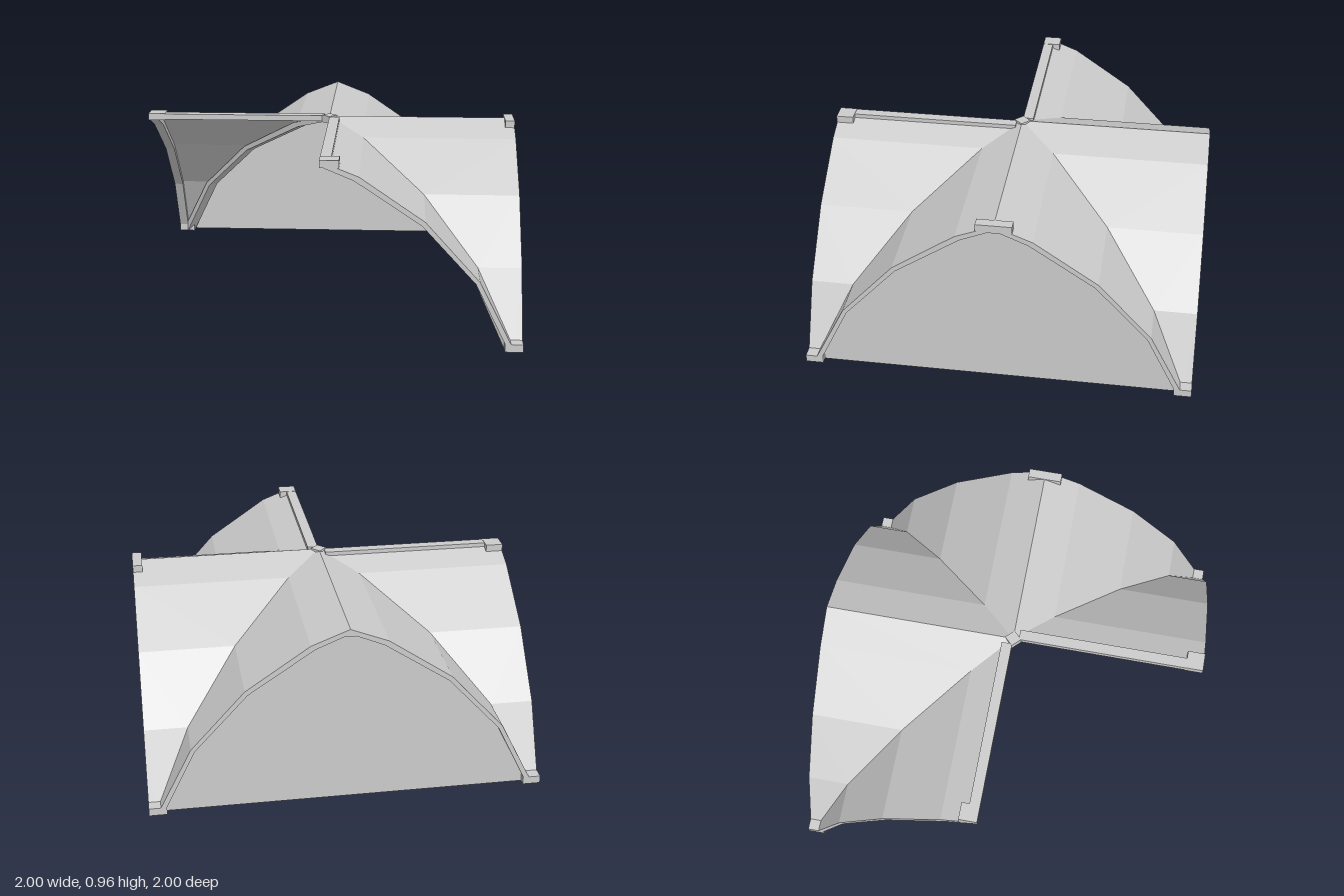
import * as THREE from 'three';

const solid = new THREE.MeshStandardMaterial({ color: 0xcccccc, flatShading: true });
const sheet = new THREE.MeshStandardMaterial({ color: 0xcccccc, flatShading: true, side: THREE.DoubleSide });

// Half arch profile from crown to springing: outer and inner line
const outer = [[0, 0.955], [0.19, 0.88], [0.51, 0.66], [0.78, 0.36], [0.96, 0]];
const inner = [[0, 0.93], [0.167, 0.86], [0.495, 0.64], [0.76, 0.35], [0.93, 0]];

// The three standing quadrants as [x sign, z sign]
const quadrants = [[1, 1], [1, -1], [-1, -1]];

function shapeOf(points) {
  return new THREE.Shape(points.map(([x, y]) => new THREE.Vector2(x, y)));
}

export function createModel() {
  const model = new THREE.Group();

  function add(name, geometry, material = solid) {
    const mesh = new THREE.Mesh(geometry, material);
    mesh.name = name;
    model.add(mesh);
    return mesh;
  }

  function box(name, x0, x1, y0, y1, z0, z1) {
    add(name, new THREE.BoxGeometry(x1 - x0, y1 - y0, z1 - z0))
      .position.set((x0 + x1) / 2, (y0 + y1) / 2, (z0 + z1) / 2);
  }

  // Half of one barrel bay: strips from the groin out to the open end
  function halfBay(sx, sz, swap) {
    const pos = [];
    const index = [];
    const put = (u, y, v) => pos.push(sx * (swap ? v : u), y, sz * (swap ? u : v));
    outer.forEach(([u, y]) => {
      put(u, y, u);
      put(u, y, 1);
    });
    const flip = sx * sz * (swap ? -1 : 1) < 0;
    for (let i = 0; i < outer.length - 1; i++) {
      const a = 2 * i, b = a + 1, c = a + 2, d = a + 3;
      index.push(...(flip ? [a, c, b, b, c, d] : [a, b, c, b, d, c]));
    }
    const g = new THREE.BufferGeometry();
    g.setAttribute('position', new THREE.Float32BufferAttribute(pos, 3));
    g.setIndex(index);
    g.computeVertexNormals();
    add('vaultShell', g, sheet);
  }

  // Half arch rib in the x-y plane, stretched along x
  function ribGeometry(stretch, depth) {
    const ring = [...outer, ...inner.slice().reverse()].map(([x, y]) => [x * stretch, y - 0.002 * (y > 0)]);
    return new THREE.ExtrudeGeometry(shapeOf(ring), { depth, bevelEnabled: false });
  }

  for (const [sx, sz] of quadrants) {
    halfBay(sx, sz, false);
    halfBay(sx, sz, true);

    // Ribs along the front/back and side edges of the quadrant
    const edge = ribGeometry(1, 0.05);
    const along = add('edgeRib', edge);
    along.rotation.y = sx > 0 ? 0 : Math.PI;
    along.position.z = sx > 0 ? (sz > 0 ? 0.95 : -1) : (sz > 0 ? 1 : -0.95);
    const side = add('edgeRib', edge);
    side.rotation.y = sz > 0 ? -Math.PI / 2 : Math.PI / 2;
    side.position.x = sz > 0 ? (sx > 0 ? 1 : -0.95) : (sx > 0 ? 0.95 : -1);

    // Groin rib below the diagonal fold
    const groin = ribGeometry(Math.SQRT2, 0.06);
    groin.translate(0, 0, -0.03);
    add('groinRib', groin).rotation.y = Math.atan2(-sz, sx);

    // Foot block under the corner
    const foot = add('foot', new THREE.BoxGeometry(0.09, 0.04, 0.09));
    foot.position.set(sx * 0.955, 0.02, sz * 0.955);
  }

  // Ridge beams: half beams on the cut sides, hidden ones below the crown
  box('cutRidgeBeam', -1, -0.03, 0.925, 0.955, -0.055, 0);
  box('cutRidgeBeam', 0, 0.055, 0.925, 0.955, 0.03, 1);
  box('ridgeBeam', 0.03, 1, 0.915, 0.935, -0.03, 0.03);
  box('ridgeBeam', -0.03, 0.03, 0.915, 0.935, -1, -0.03);

  // Blocks at the ridge ends
  box('ridgeBlock', -1, -0.91, 0.92, 0.957, -0.095, 0);
  box('ridgeBlock', 0, 0.095, 0.92, 0.957, 0.91, 1);
  box('ridgeBlock', 0.95, 1, 0.92, 0.957, -0.09, 0.09);

  // Boss at the crossing
  const boss = add('crownBoss', new THREE.BoxGeometry(0.06, 0.04, 0.06));
  boss.position.y = 0.94;
  boss.rotation.y = Math.PI / 4;

  // Infill walls closing the back and the +x side
  const mirrored = inner.slice(1).reverse().map(([x, y]) => [-x, y]);
  const wall = new THREE.ShapeGeometry(shapeOf([...inner.slice().reverse(), ...mirrored.reverse()]));
  const back = add('backWall', wall, sheet);
  back.rotation.y = Math.PI;
  back.position.z = -0.965;
  const sideWall = add('sideWall', wall, sheet);
  sideWall.rotation.y = Math.PI / 2;
  sideWall.position.x = 0.965;

  return model;
}
